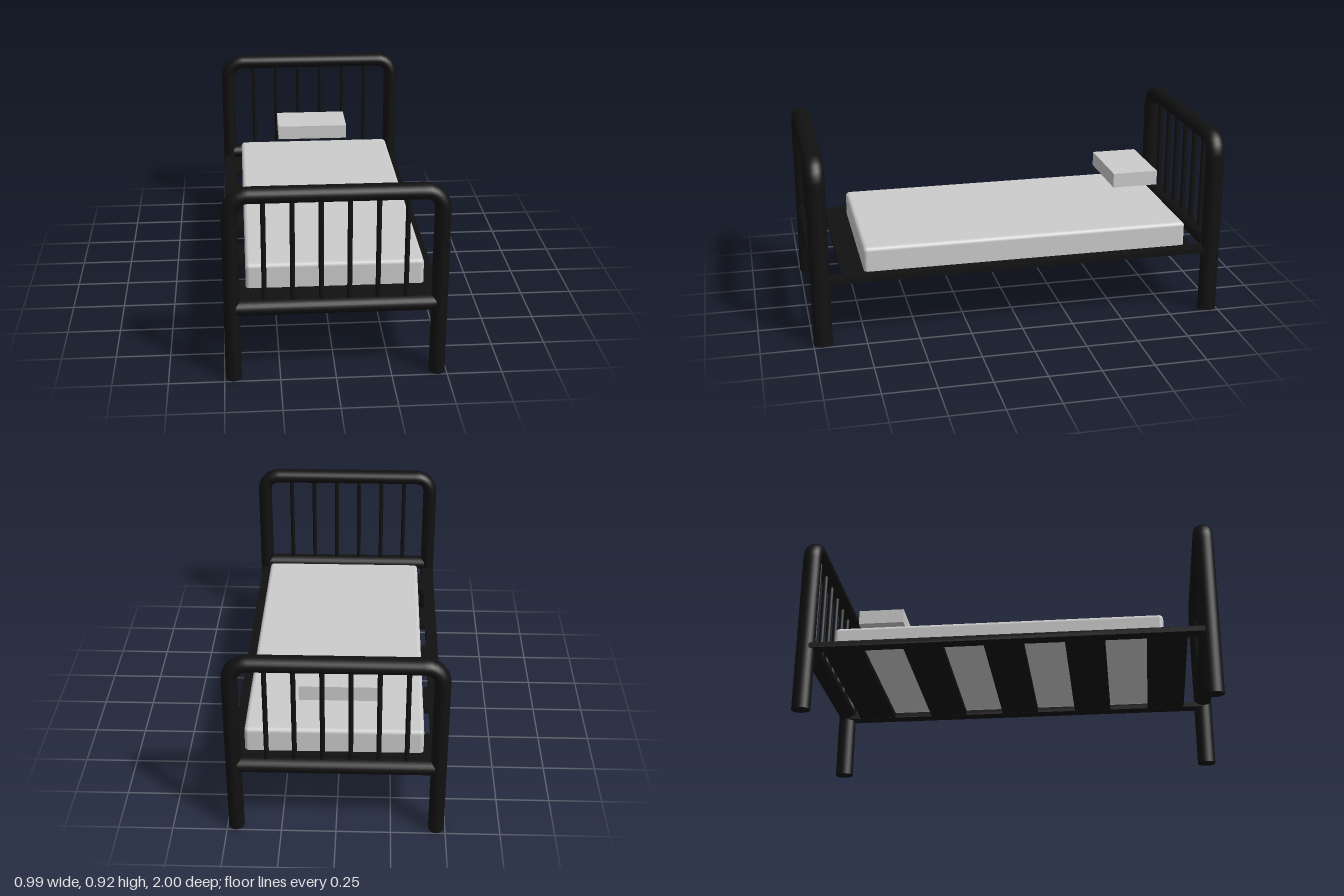
import * as THREE from 'three';
import { RoundedBoxGeometry } from 'three/addons/geometries/RoundedBoxGeometry.js';

const metal = new THREE.MeshStandardMaterial({ color: 0x111111 });
const fabric = new THREE.MeshStandardMaterial({ color: 0xcccccc });
const pillowFabric = new THREE.MeshStandardMaterial({ color: 0xbcbcbc });

const RX = 0.036, RZ = 0.045; // half thickness of the oval tube
const LEG_X = 0.459, BEND = 0.08, BEND_Y = 0.802, END_Z = 0.955;

function add(parent, name, geometry, material, x = 0, y = 0, z = 0) {
  const mesh = new THREE.Mesh(geometry, material);
  mesh.name = name;
  mesh.position.set(x, y, z);
  parent.add(mesh);
  return mesh;
}

// Oval tube swept up one leg, round two bends and down the other leg
function hoopGeometry(sides = 24, bendSteps = 6) {
  const path = [{ x: LEG_X, y: 0, a: 0 }];
  for (const s of [1, -1]) {
    for (let i = 0; i <= bendSteps; i++) {
      const a = (s > 0 ? 0 : Math.PI / 2) + (i / bendSteps) * Math.PI / 2;
      path.push({
        x: s * (LEG_X - BEND) + BEND * Math.cos(a),
        y: BEND_Y + BEND * Math.sin(a),
        a,
      });
    }
  }
  path.push({ x: -LEG_X, y: 0, a: Math.PI });

  const positions = [], indices = [];
  for (const p of path) {
    for (let j = 0; j < sides; j++) {
      const t = (j / sides) * Math.PI * 2;
      const out = RX * Math.cos(t);
      positions.push(p.x + out * Math.cos(p.a), p.y + out * Math.sin(p.a), RZ * Math.sin(t));
    }
  }
  for (let i = 0; i < path.length - 1; i++) {
    for (let j = 0; j < sides; j++) {
      const k = (j + 1) % sides;
      const a = i * sides + j, b = i * sides + k;
      const c = a + sides, d = b + sides;
      indices.push(a, c, b, b, c, d);
    }
  }
  const geometry = new THREE.BufferGeometry();
  geometry.setAttribute('position', new THREE.Float32BufferAttribute(positions, 3));
  geometry.setIndex(indices);
  geometry.computeVertexNormals();
  return geometry;
}

// Headboard or footboard: hoop, feet, crossbar and spindles
function createEnd(name, z) {
  const end = new THREE.Group();
  end.name = name;
  end.position.z = z;
  add(end, 'hoop', hoopGeometry(), metal);

  const foot = new THREE.CircleGeometry(1, 24).rotateX(Math.PI / 2).scale(RX, 1, RZ);
  for (const s of [-1, 1]) add(end, 'footCap', foot, metal, s * LEG_X);

  const bar = new THREE.CylinderGeometry(1, 1, 0.88, 24).rotateZ(Math.PI / 2).scale(1, RX, RZ);
  add(end, 'crossbar', bar, metal, 0, 0.349, 0);

  const spindle = new THREE.CylinderGeometry(0.011, 0.011, 0.5, 16).scale(1, 1, 1.25);
  for (let i = 0; i < 6; i++) {
    add(end, 'spindle', spindle, metal, -0.003 + (i - 2.5) * 0.125, 0.61, 0);
  }
  return end;
}

export function createModel() {
  const bed = new THREE.Group();
  bed.name = 'bed';
  bed.add(createEnd('headboard', -END_Z), createEnd('footboard', END_Z));

  // Flat side rails and wide slats
  const rail = new THREE.BoxGeometry(0.06, 0.026, 2 * END_Z);
  add(bed, 'rightRail', rail, metal, -0.46, 0.319, 0);
  add(bed, 'leftRail', rail, metal, 0.452, 0.319, 0);
  const slat = new THREE.BoxGeometry(0.87, 0.025, 0.188);
  for (let i = -2; i <= 2; i++) {
    add(bed, 'slat', slat, metal, -0.004, 0.319, -0.01 + i * 0.384);
  }

  // Mattress with softened edges, flat underneath
  const mattress = new RoundedBoxGeometry(0.816, 0.118, 1.58, 4, 0.02);
  const pos = mattress.attributes.position;
  for (let i = 0; i < pos.count; i++) {
    if (pos.getY(i) < -0.03) pos.setY(i, -0.059);
  }
  add(bed, 'mattress', mattress, fabric, 0.013, 0.391, -0.045);

  // Pillow hovering above the head end
  add(bed, 'pillow', new THREE.BoxGeometry(0.367, 0.072, 0.226), pillowFabric, -0.01, 0.604, -0.654);
  return bed;
}
